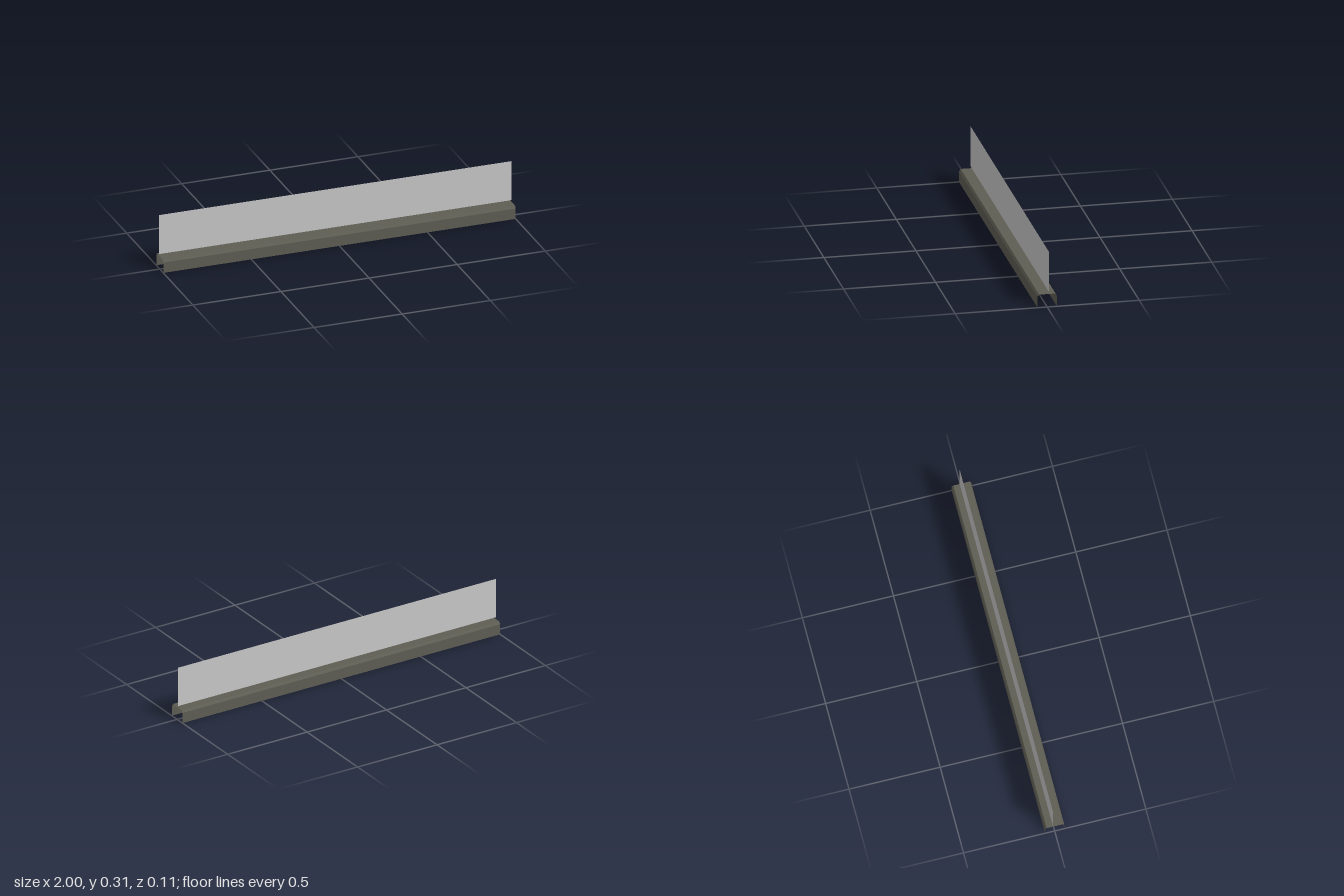
import * as THREE from 'three';

// Sweep an open (z, y) profile along x as a flat-faced sheet
function sheet(profile, length, material, name) {
  const pos = [];
  const h = length / 2;
  for (let i = 0; i < profile.length - 1; i++) {
    const [z0, y0] = profile[i];
    const [z1, y1] = profile[i + 1];
    pos.push(-h, y0, z0, h, y0, z0, h, y1, z1);
    pos.push(-h, y0, z0, h, y1, z1, -h, y1, z1);
  }
  const geo = new THREE.BufferGeometry();
  geo.setAttribute('position', new THREE.Float32BufferAttribute(pos, 3));
  geo.computeVertexNormals();
  const mesh = new THREE.Mesh(geo, material);
  mesh.name = name;
  return mesh;
}

export function createModel() {
  const group = new THREE.Group();
  group.name = 'railWithPanel';

  const metal = new THREE.MeshStandardMaterial({ color: 0x5f5e54, side: THREE.DoubleSide });
  metal.name = 'dark olive metal';
  const pane = new THREE.MeshStandardMaterial({ color: 0xc8c8c8, side: THREE.DoubleSide });
  pane.name = 'light grey';

  // Inverted channel with chamfered shoulders, open at the bottom and ends
  const half = [[0.053, 0], [0.053, 0.06], [0.044, 0.073]];
  const profile = [...half, ...half.map(([z, y]) => [-z, y]).reverse()];
  group.add(sheet(profile, 2, metal, 'channelRail'));

  // Thin upright panel just above the rail
  group.add(sheet([[-0.01, 0.083], [-0.01, 0.31]], 2, pane, 'uprightPanel'));

  return group;
}
